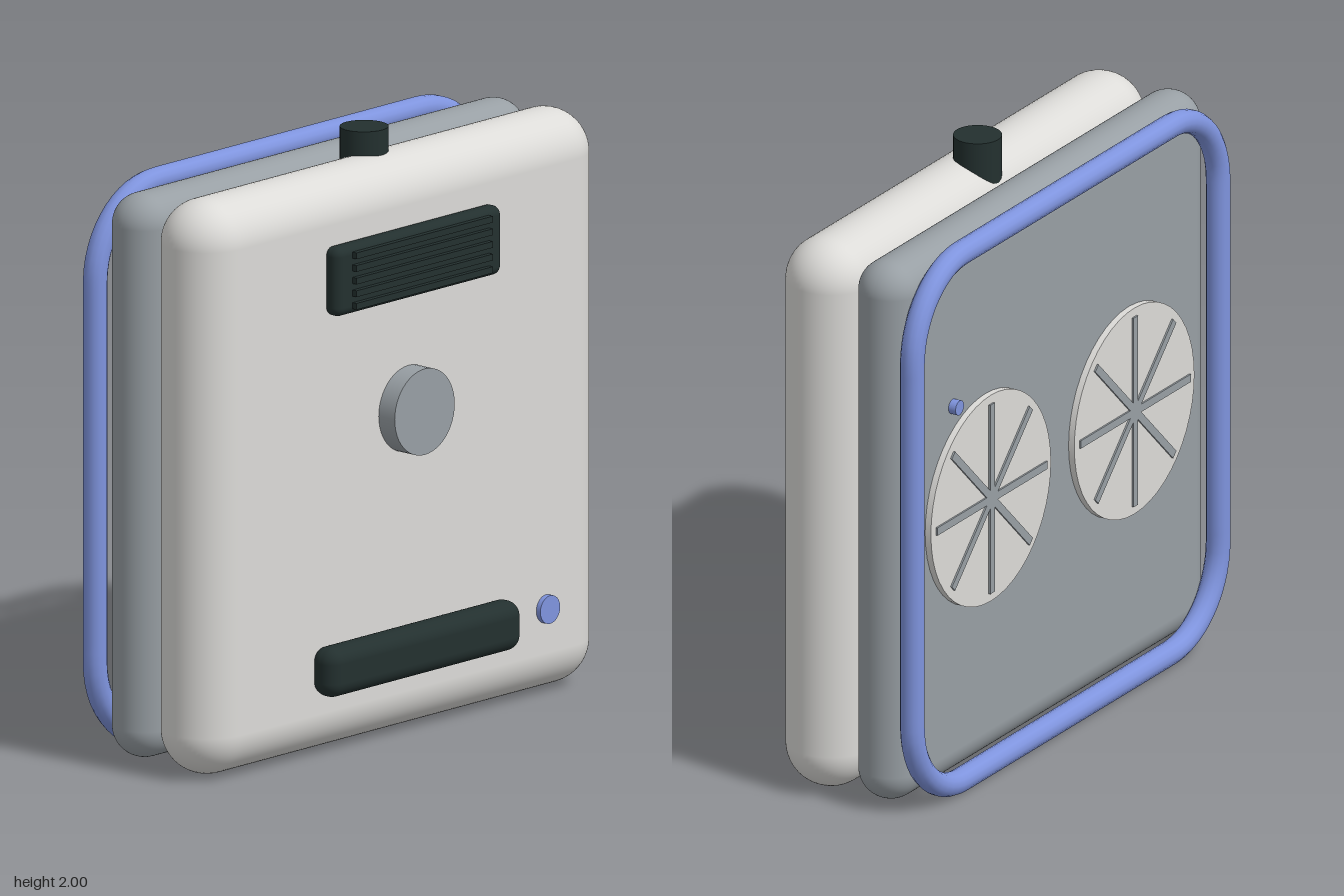
import * as THREE from 'three';
import { RoundedBoxGeometry } from 'three/addons/geometries/RoundedBoxGeometry.js';

const material = (name, color) => {
  const m = new THREE.MeshStandardMaterial({ color });
  m.name = name;
  return m;
};

export function createModel() {
  const shell = material('warm white shell', 0xdcdbd8);
  const grey = material('grey', 0x989fa4);
  const blue = material('blue trim', 0x7f94de);
  const dark = material('dark green black', 0x23302f);

  const model = new THREE.Group();
  model.name = 'flatDevice';

  const add = (name, geometry, mat, x, y, z, parent = model) => {
    const mesh = new THREE.Mesh(geometry, mat);
    mesh.name = name;
    mesh.position.set(x, y, z);
    parent.add(mesh);
    return mesh;
  };
  const rounded = (w, h, d, r) => new RoundedBoxGeometry(w, h, d, 8, r);
  // Cylinder with its axis along z
  const disc = (r, d) => new THREE.CylinderGeometry(r, r, d, 48).rotateX(Math.PI / 2);

  // Two pillow-shaped housings, back to back
  add('frontHousing', rounded(1.9, 1.91, 0.295, 0.147), shell, 0, 0.965, 0.0925);
  add('rearHousing', rounded(1.87, 1.875, 0.21, 0.104), grey, 0, 0.965, -0.153);

  // Tubular rim around the back: straight sides, round corners
  const hx = 0.917, hy = 0.92, r = 0.29;
  const rim = new THREE.CurvePath();
  const corners = [[1, 1], [-1, 1], [-1, -1], [1, -1]];
  corners.forEach(([sx, sy], i) => {
    const along = new THREE.Vector3(sx * hx, sy * (hy - r), 0);
    const across = new THREE.Vector3(sx * (hx - r), sy * hy, 0);
    const [a, b] = i % 2 ? [across, along] : [along, across];
    const center = new THREE.Vector3(sx * (hx - r), sy * (hy - r), 0);
    const points = [];
    for (let k = 0; k <= 10; k++) {
      const t = (i + k / 10) * Math.PI / 2;
      points.push(new THREE.Vector3(center.x + r * Math.cos(t), center.y + r * Math.sin(t), 0));
    }
    points[0].copy(a);
    points[10].copy(b);
    rim.add(new THREE.CatmullRomCurve3(points));
    const [nx, ny] = corners[(i + 1) % 4];
    const next = i % 2
      ? new THREE.Vector3(nx * hx, ny * (hy - r), 0)
      : new THREE.Vector3(nx * (hx - r), ny * hy, 0);
    // The next corner starts on its own first tangent point
    next.set(
      i % 2 ? nx * hx : nx * (hx - r),
      i % 2 ? ny * (hy - r) : ny * hy, 0);
    rim.add(new THREE.LineCurve3(b.clone(), next));
  });
  const path = new THREE.CatmullRomCurve3(rim.getSpacedPoints(160).slice(0, -1), true);
  add('rearRim', new THREE.TubeGeometry(path, 200, 0.04, 14, true), blue, 0, 0.963, -0.29);

  // Top knob
  add('topKnob', new THREE.CylinderGeometry(0.079, 0.079, 0.16, 40), dark, 0, 1.92, 0.045);

  // Front vent with raised slats
  const vent = new THREE.Group();
  vent.name = 'frontVent';
  model.add(vent);
  add('ventPlate', rounded(0.79, 0.23, 0.07, 0.03), dark, 0, 1.59, 0.258, vent);
  for (let i = -2; i <= 2; i++) {
    add('ventSlat', new THREE.BoxGeometry(0.65, 0.021, 0.04), dark, 0, 1.59 + i * 0.042, 0.29, vent);
  }

  // Front dial, handle and button
  add('frontDial', disc(0.143, 0.1), grey, 0, 1.095, 0.26);
  add('frontHandle', rounded(0.92, 0.165, 0.11, 0.05), dark, 0, 0.303, 0.275);
  add('frontButton', disc(0.047, 0.06), blue, 0.655, 0.305, 0.228);

  // Two round rear grilles, each with four crossing bars
  for (const side of [1, -1]) {
    const grille = new THREE.Group();
    grille.name = side > 0 ? 'leftRearGrille' : 'rightRearGrille';
    grille.position.set(side * 0.43, 0.955, -0.265);
    model.add(grille);
    add('grilleDisc', disc(0.36, 0.03), shell, 0, 0, 0, grille);
    for (let i = 0; i < 4; i++) {
      const bar = add('grilleBar', new THREE.BoxGeometry(0.66, 0.027, 0.012), grey, 0, 0, -0.015, grille);
      bar.rotation.z = i * Math.PI / 4;
    }
  }

  // Small rear stud
  add('rearStud', disc(0.025, 0.04), blue, 0.625, 1.34, -0.265);

  return model;
}
